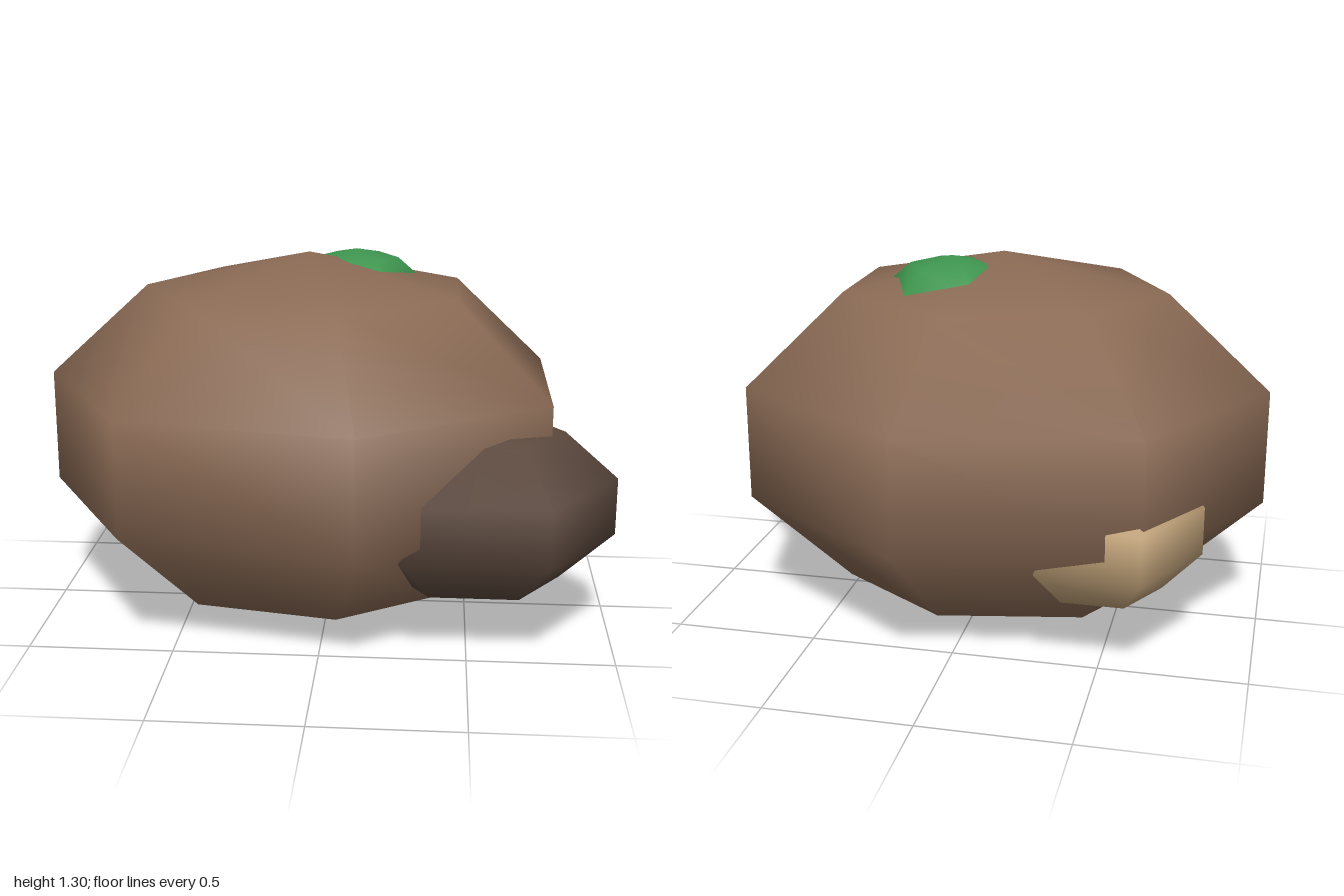
import * as THREE from 'three';

// Smooth-shaded, few-sided ellipsoid: five rows, a chosen number of sides
function lump(name, material, sides, radii, position) {
  const geometry = new THREE.SphereGeometry(1, sides, 5);
  geometry.scale(...radii);
  const mesh = new THREE.Mesh(geometry, material);
  mesh.name = name;
  mesh.position.set(...position);
  return mesh;
}

function paint(name, color) {
  const material = new THREE.MeshStandardMaterial({ color });
  material.name = name;
  return material;
}

export function createModel() {
  const model = new THREE.Group();
  model.name = 'boulder';

  const brown = paint('earth brown', 0x8b6b55);
  const darkBrown = paint('dark brown', 0x5c493e);
  const green = paint('moss green', 0x3f9650);
  const tan = paint('tan', 0xc4a57b);

  model.add(
    // main mass
    lump('mainRock', brown, 7, [0.978, 0.65, 0.83], [-0.07, 0.653, 0]),
    // dark lump on the front left
    lump('darkRock', darkBrown, 6, [0.505, 0.323, 0.428], [0.52, 0.49, 0.28]),
    // moss on top
    lump('mossPatch', green, 6, [0.25, 0.157, 0.245], [0.09, 1.143, -0.1]),
    // pale stone showing through the lower back right
    lump('paleStone', tan, 6, [0.357, 0.27, 0.376], [-0.48, 0.46, -0.33])
  );
  return model;
}
